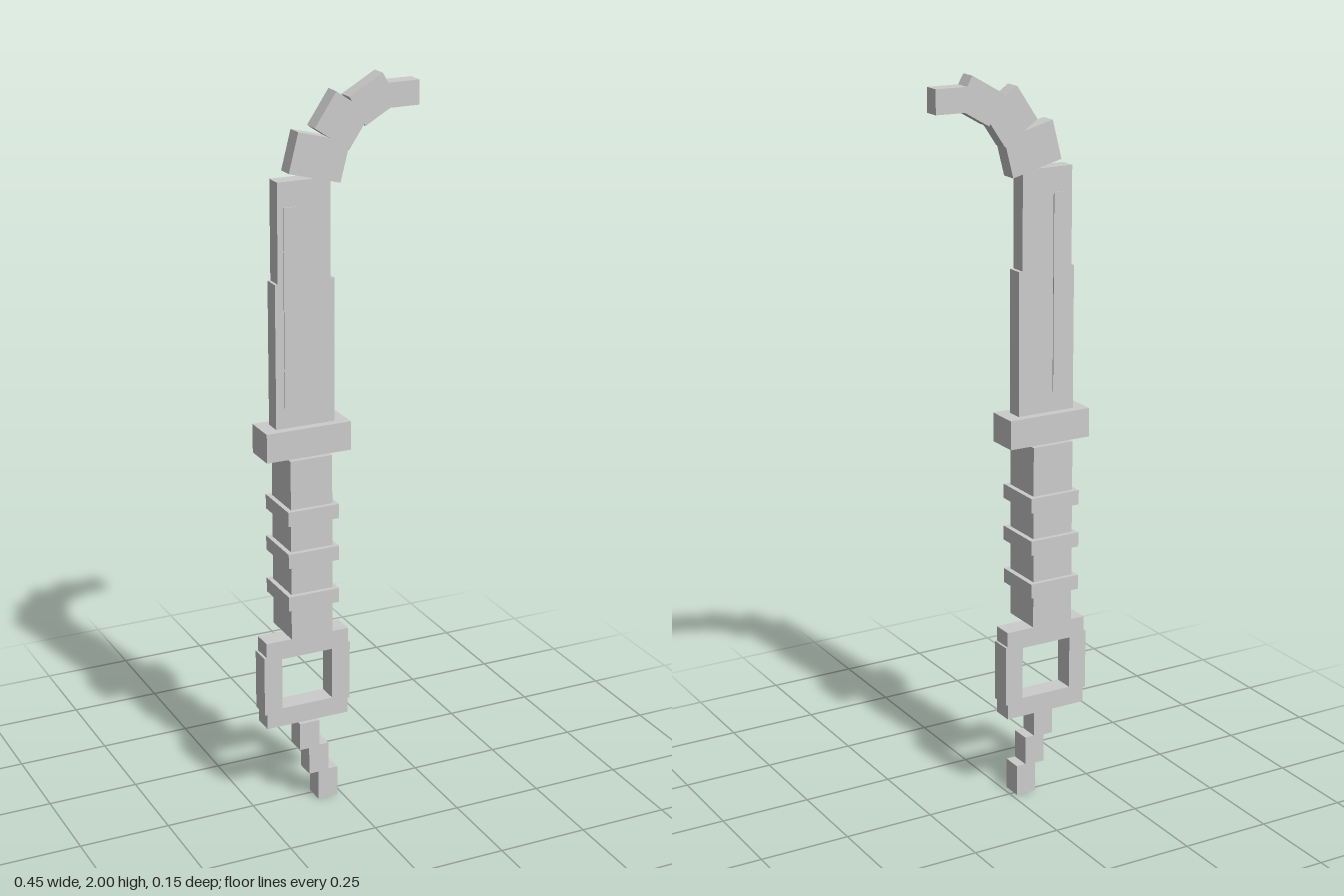
import * as THREE from 'three';

export function createModel() {
  const model = new THREE.Group();
  model.name = 'hookedSword';
  const grey = new THREE.MeshStandardMaterial({ color: 0xcccccc });
  grey.name = 'light grey';

  // Box given by its x and y limits, half depth and z centre
  function block(name, x0, x1, y0, y1, halfDepth, z = 0) {
    const mesh = new THREE.Mesh(new THREE.BoxGeometry(x1 - x0, y1 - y0, halfDepth * 2), grey);
    mesh.position.set((x0 + x1) / 2, (y0 + y1) / 2, z);
    mesh.name = name;
    model.add(mesh);
    return mesh;
  }

  // Blade, with a slim raised strip on both faces
  block('lowerBlade', -0.18, -0.014, 1.095, 1.483, 0.023);
  block('upperBlade', -0.172, -0.025, 1.483, 1.746, 0.023);
  block('bladeStrip', -0.156, -0.117, 1.15, 1.68, 0.026);

  // Hooked tip: stepped blocks that shrink as they turn: x, y, width, degrees
  const hook = [
    [-0.055, 1.797, 0.147, 14.5],
    [0.009, 1.884, 0.114, 34],
    [0.096, 1.93, 0.089, 60],
    [0.17, 1.937, 0.064, 89.5],
  ];
  hook.forEach(([x, y, width, turn], i) => {
    const part = block('hookSegment' + (i + 1), x - width / 2, x + width / 2, y - 0.053, y + 0.053, 0.023);
    part.rotation.z = -THREE.MathUtils.degToRad(turn);
  });

  // Guard, grip and grip rings
  block('guard', -0.217, 0.023, 1.016, 1.095, 0.046);
  block('grip', -0.157, -0.038, 0.51, 1.016, 0.06);
  [0.62, 0.742, 0.861].forEach((y, i) =>
    block('gripRing' + (i + 1), -0.17, -0.024, y - 0.02, y + 0.02, 0.073));

  // Square pommel frame
  block('pommelTop', -0.217, 0.023, 0.442, 0.495, 0.029);
  block('pommelBottom', -0.217, 0.023, 0.242, 0.295, 0.029);
  block('pommelRightSide', -0.224, -0.172, 0.284, 0.453, 0.029);
  block('pommelLeftSide', -0.024, 0.029, 0.284, 0.453, 0.029);

  // Stepped tassel hanging from the pommel
  [[-0.126, 0.163, 0.242], [-0.099, 0.084, 0.167], [-0.072, 0, 0.087]].forEach(([x, y0, y1], i) =>
    block('tasselLink' + (i + 1), x, x + 0.058, y0, y1, 0.028, 0.013));

  return model;
}
